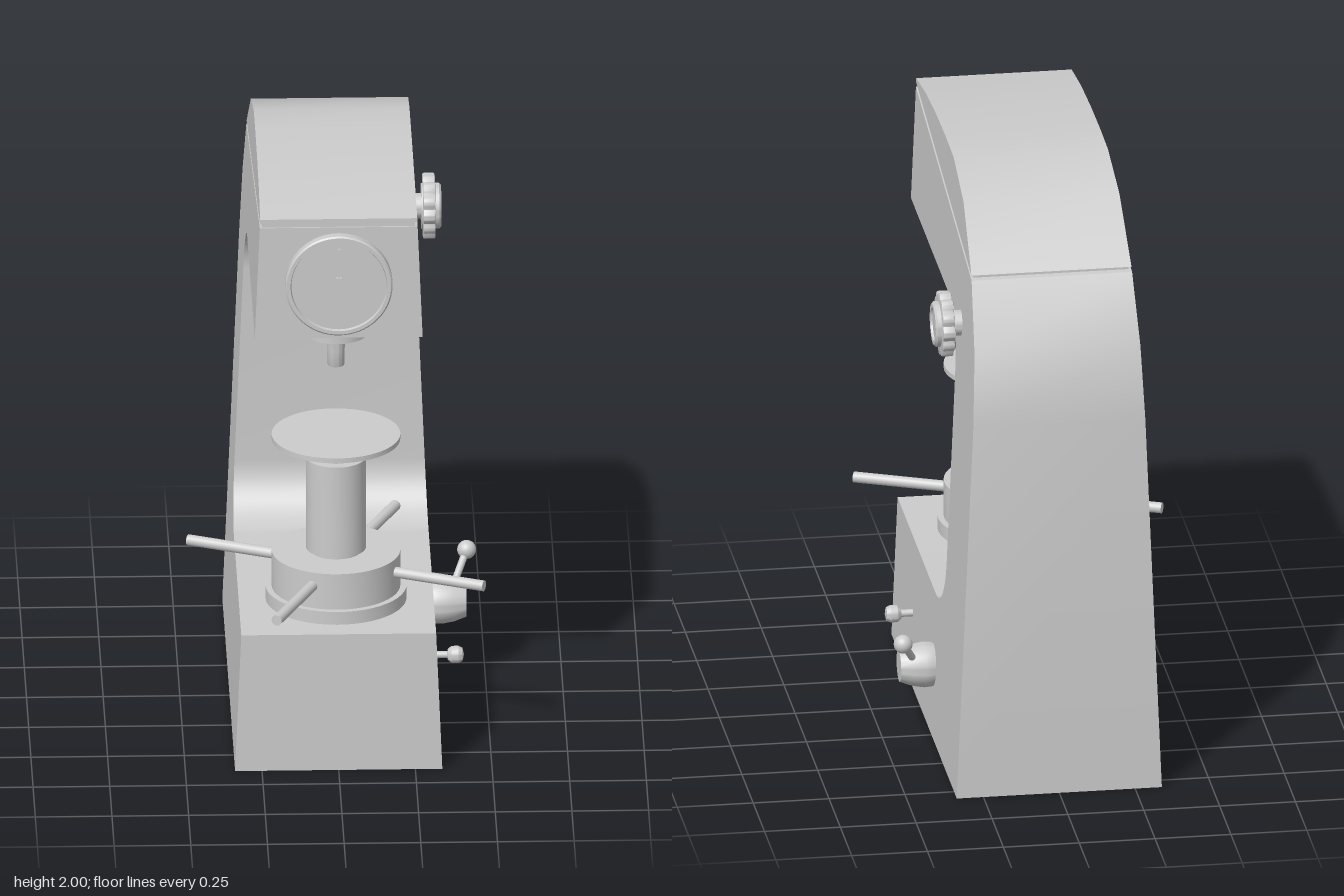
import * as THREE from 'three';
import { toCreasedNormals } from 'three/addons/utils/BufferGeometryUtils.js';

const grey = new THREE.MeshStandardMaterial({ color: 0xcccccc });
const V = (x, y, z) => new THREE.Vector3(x, y, z);

function add(parent, name, geometry, x = 0, y = 0, z = 0) {
  const mesh = new THREE.Mesh(geometry, grey);
  mesh.name = name;
  mesh.position.set(x, y, z);
  parent.add(mesh);
  return mesh;
}

// Side outline (z, y) extruded across the width; the sides lean in with height
function taperedSlab(shape, inset = 0) {
  const geo = new THREE.ExtrudeGeometry(shape, { depth: 1, bevelEnabled: false, curveSegments: 10 });
  geo.translate(0, 0, -0.5).rotateY(-Math.PI / 2);
  const p = geo.attributes.position;
  for (let i = 0; i < p.count; i++) {
    p.setX(i, p.getX(i) * 2 * (0.338 - 0.042 * p.getY(i) - inset));
  }
  return toCreasedNormals(geo, 0.6);
}

const polygon = (pts) => new THREE.Shape(pts.map(([z, y]) => new THREE.Vector2(z, y)));

// Turned part from [radius, height] pairs, bottom to top
function turned(pts, segments = 48) {
  const geo = new THREE.LatheGeometry(pts.map(([r, y]) => new THREE.Vector2(r, y)), segments);
  return toCreasedNormals(geo, 0.5);
}

function rod(parent, name, a, b, radius) {
  const mesh = add(parent, name, new THREE.CylinderGeometry(radius, radius, a.distanceTo(b), 20));
  mesh.position.copy(a).lerp(b, 0.5);
  mesh.quaternion.setFromUnitVectors(V(0, 1, 0), b.clone().sub(a).normalize());
  return mesh;
}

export function createModel() {
  const model = new THREE.Group();
  model.name = 'benchHardnessTester';

  // C-shaped frame with rounded throat
  const frame = new THREE.Shape();
  frame.moveTo(0.635, 0);
  frame.lineTo(0.635, 0.48);
  frame.lineTo(-0.215, 0.48);
  frame.absarc(-0.215, 0.665, 0.185, -Math.PI / 2, -Math.PI, true);
  frame.lineTo(-0.4, 1.345);
  frame.absarc(-0.215, 1.345, 0.185, Math.PI, Math.PI / 2, true);
  frame.lineTo(0.635, 1.53);
  frame.lineTo(0.635, 1.92);
  frame.lineTo(-0.645, 1.75);
  frame.lineTo(-0.77, 1.54);
  frame.lineTo(-0.81, 1.3);
  frame.lineTo(-0.81, 0);
  add(model, 'frame', taperedSlab(frame));

  // Recessed seam and domed lid
  add(model, 'seam', taperedSlab(polygon([
    [0.625, 1.91], [0.625, 1.94], [-0.625, 1.77], [-0.625, 1.745],
  ]), 0.008));
  add(model, 'lid', taperedSlab(polygon([
    [0.635, 1.936], [0.635, 1.95], [0.42, 1.98], [0.2, 1.995], [0, 2],
    [-0.18, 1.997], [-0.415, 1.935], [-0.637, 1.765],
  ])));

  // Dial gauge
  const gauge = new THREE.Group();
  gauge.name = 'gauge';
  gauge.position.set(0, 1.725, 0.635);
  model.add(gauge);
  const bezel = turned([[0.175, -0.01], [0.175, 0.028], [0.17, 0.033], [0.158, 0.033], [0.155, 0.024], [0, 0.024]], 64);
  add(gauge, 'gaugeDial', bezel.rotateX(Math.PI / 2));
  add(gauge, 'needle', new THREE.BoxGeometry(0.006, 0.14, 0.006), 0, 0.06, 0.03);
  add(gauge, 'needleWeight', new THREE.BoxGeometry(0.016, 0.055, 0.012), 0, 0.003, 0.032);

  // Spindle and indenter under the head
  add(model, 'spindle', turned([
    [0, 1.305], [0.026, 1.305], [0.028, 1.31], [0.028, 1.36], [0.036, 1.42], [0.105, 1.42],
    [0.105, 1.505], [0.145, 1.505], [0.145, 1.535],
  ]), 0, 0, 0.325);

  // Elevating screw, capstan and anvil
  add(model, 'capstan', turned([
    [0.23, 0.475], [0.23, 0.525], [0.21, 0.525], [0.21, 0.65], [0, 0.65],
  ]), 0, 0, 0.325);
  add(model, 'column', turned([
    [0.085, 0.64], [0.085, 0.66], [0.098, 0.66], [0.098, 0.98], [0, 0.98],
  ]), 0, 0, 0.325);
  add(model, 'anvil', turned([
    [0.065, 0.97], [0.065, 0.988], [0.21, 1.043], [0.21, 1.06], [0, 1.06],
  ]), 0, 0, 0.325);
  for (let i = 0; i < 4; i++) {
    const a = 0.41 + i * Math.PI / 2;
    const at = (r) => V(r * Math.cos(a), 0.602, 0.325 + r * Math.sin(a));
    rod(model, 'capstanHandle', at(0.19), at(0.52), 0.018);
  }

  // Scalloped handwheel on the left side
  const wheel = new THREE.Group();
  wheel.name = 'handwheel';
  wheel.position.set(0, 1.53, -0.46);
  model.add(wheel);
  const rim = [];
  const n = 120;
  for (let i = 0; i < n; i++) {
    const a = (i / n) * Math.PI * 2;
    const r = 0.108 - 0.011 * Math.pow(0.5 - 0.5 * Math.cos(12 * a), 2);
    rim.push(new THREE.Vector2(r * Math.cos(a), r * Math.sin(a)));
  }
  const rimGeo = new THREE.ExtrudeGeometry(new THREE.Shape(rim), {
    depth: 0.03, bevelSize: 0.004, bevelOffset: -0.004, bevelThickness: 0.005, bevelSegments: 2,
  });
  add(wheel, 'wheelRim', toCreasedNormals(rimGeo.rotateY(Math.PI / 2), 0.6), 0.31);
  const hub = turned([
    [0.042, 0.25], [0.042, 0.3], [0.075, 0.3], [0.075, 0.358], [0.068, 0.365], [0.055, 0.365],
    [0.052, 0.358], [0, 0.358],
  ]);
  add(wheel, 'wheelHub', hub.rotateZ(-Math.PI / 2).scale(1, 1, 1));

  // Load lever: tapered boss, arm and ball
  const boss = turned([[0.06, 0.3], [0.073, 0.335], [0.075, 0.36], [0.068, 0.4], [0.053, 0.44], [0, 0.44]]);
  add(model, 'leverBoss', boss.rotateZ(-Math.PI / 2), 0, 0.235, -0.215);
  rod(model, 'leverArm', V(0.395, 0.265, -0.245), V(0.445, 0.362, -0.342), 0.012);
  add(model, 'leverBall', new THREE.SphereGeometry(0.031, 24, 16), 0.445, 0.362, -0.342);

  // Small push knob
  rod(model, 'knobStem', V(0.3, 0.235, 0.235), V(0.385, 0.235, 0.235), 0.012);
  const knob = turned([[0, -0.027], [0.018, -0.026], [0.028, -0.014], [0.029, 0.008], [0.022, 0.022], [0, 0.027]], 24);
  add(model, 'knob', knob.rotateZ(-Math.PI / 2), 0.393, 0.235, 0.235);

  return model;
}
